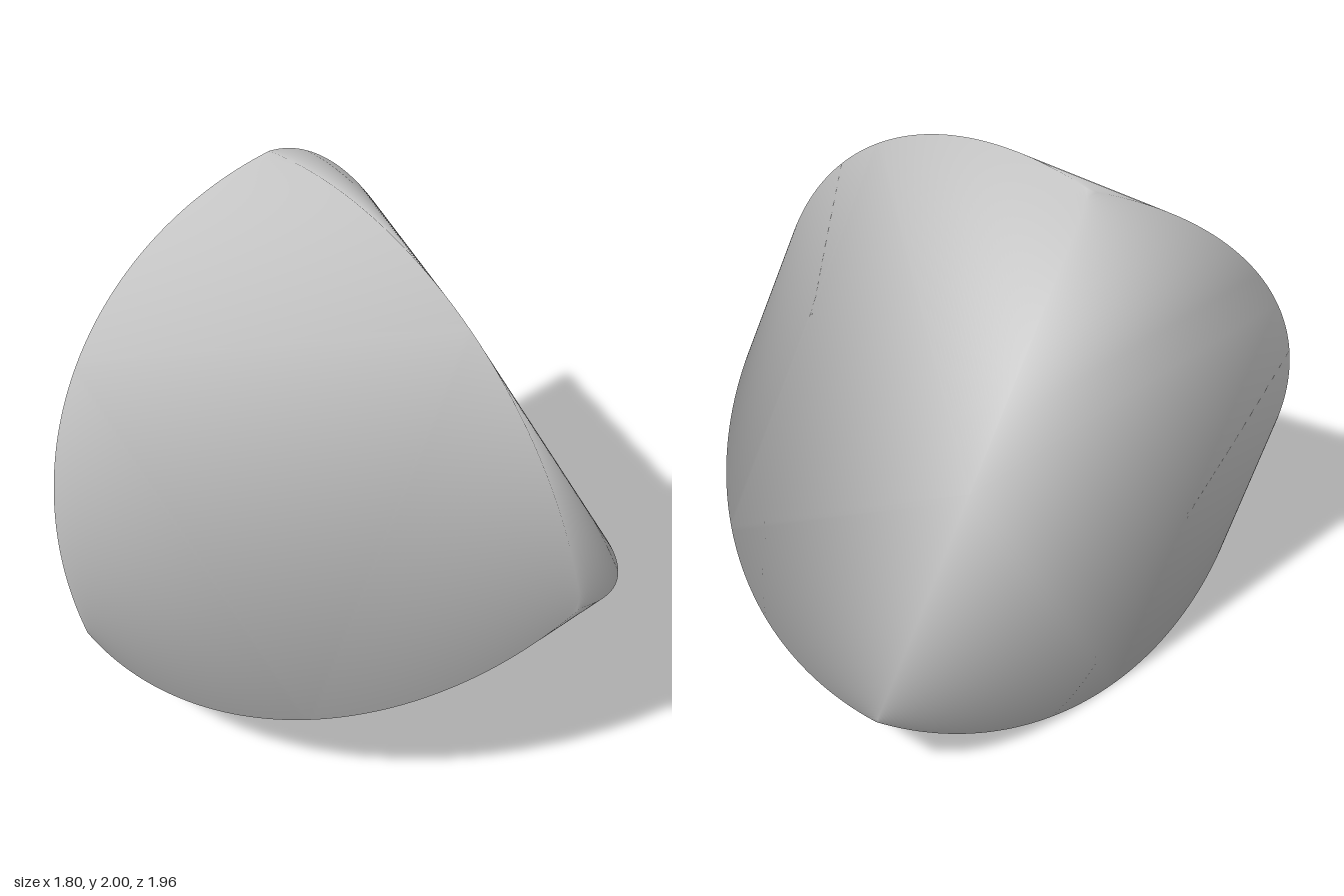
import * as THREE from 'three';
import { mergeVertices } from 'three/addons/utils/BufferGeometryUtils.js';

// A tetrahedral solid: four flat triangular facets, joined by four
// triangular domes whose edges follow circular arcs.
const CENTER = new THREE.Vector3(-0.285, 0.87, 0);
const MID = 1.065;   // distance from the centre to the middle of each edge
const R = 1.418;     // radius of the edge arcs
const RINGS = 48;

// Directions to the four tips
const S = Math.sqrt(2);
const TIPS = [
  [1, 0, 0],
  [-1 / 3, 2 * S / 3, 0],
  [-1 / 3, -S / 3, Math.sqrt(2 / 3)],
  [-1 / 3, -S / 3, -Math.sqrt(2 / 3)],
].map((p) => new THREE.Vector3(...p));

// Push a triangle, turned so that it faces along "out"
function addTriangle(list, a, b, c, out) {
  const n = b.clone().sub(a).cross(c.clone().sub(a));
  const order = n.dot(out) < 0 ? [a, c, b] : [a, b, c];
  for (const p of order) list.push(p.x, p.y, p.z);
}

// Height along the tip axis and corner radius for each triangular ring
function domeProfile() {
  const start = Math.atan(S);
  const cx = (MID - R) * Math.cos(start);
  const cy = (MID - R) * Math.sin(start);
  const end = Math.asin(-cy / R);
  return Array.from({ length: RINGS + 1 }, (_, i) => {
    const t = start + (end - start) * i / RINGS;
    return [cx + R * Math.cos(t), i === RINGS ? 0 : cy + R * Math.sin(t)];
  });
}

export function createModel() {
  const group = new THREE.Group();
  const list = [];
  const profile = domeProfile();

  for (const tip of TIPS) {
    const others = TIPS.filter((t) => t !== tip);
    const spokes = others.map((o) => o.clone().addScaledVector(tip, -o.dot(tip)).normalize());
    const point = (i, k) => CENTER.clone()
      .addScaledVector(tip, profile[i][0])
      .addScaledVector(spokes[k % 3], profile[i][1]);

    // Dome: stacked triangular rings closing at the tip
    for (let k = 0; k < 3; k++) {
      const out = spokes[k].clone().add(spokes[(k + 1) % 3]).addScaledVector(tip, 0.4);
      for (let i = 0; i < RINGS; i++) {
        const a = point(i, k), b = point(i, k + 1);
        const c = point(i + 1, k + 1), d = point(i + 1, k);
        addTriangle(list, a, b, c, out);
        if (i < RINGS - 1) addTriangle(list, a, c, d, out);
      }
    }

    // Flat facet opposite the tip, between three edge midpoints
    const mids = others.map((o, k) => o.clone().add(others[(k + 1) % 3])
      .setLength(MID).add(CENTER));
    addTriangle(list, ...mids, tip.clone().negate());
  }

  // Shared corners give normals that blend softly over the edges
  const raw = new THREE.BufferGeometry();
  raw.setAttribute('position', new THREE.Float32BufferAttribute(list, 3));
  const geometry = mergeVertices(raw, 1e-4);
  geometry.computeVertexNormals();

  const body = new THREE.Mesh(geometry, new THREE.MeshStandardMaterial({ color: 0xcccccc }));
  body.name = 'roundedTetrahedron';
  group.add(body);
  return group;
}
